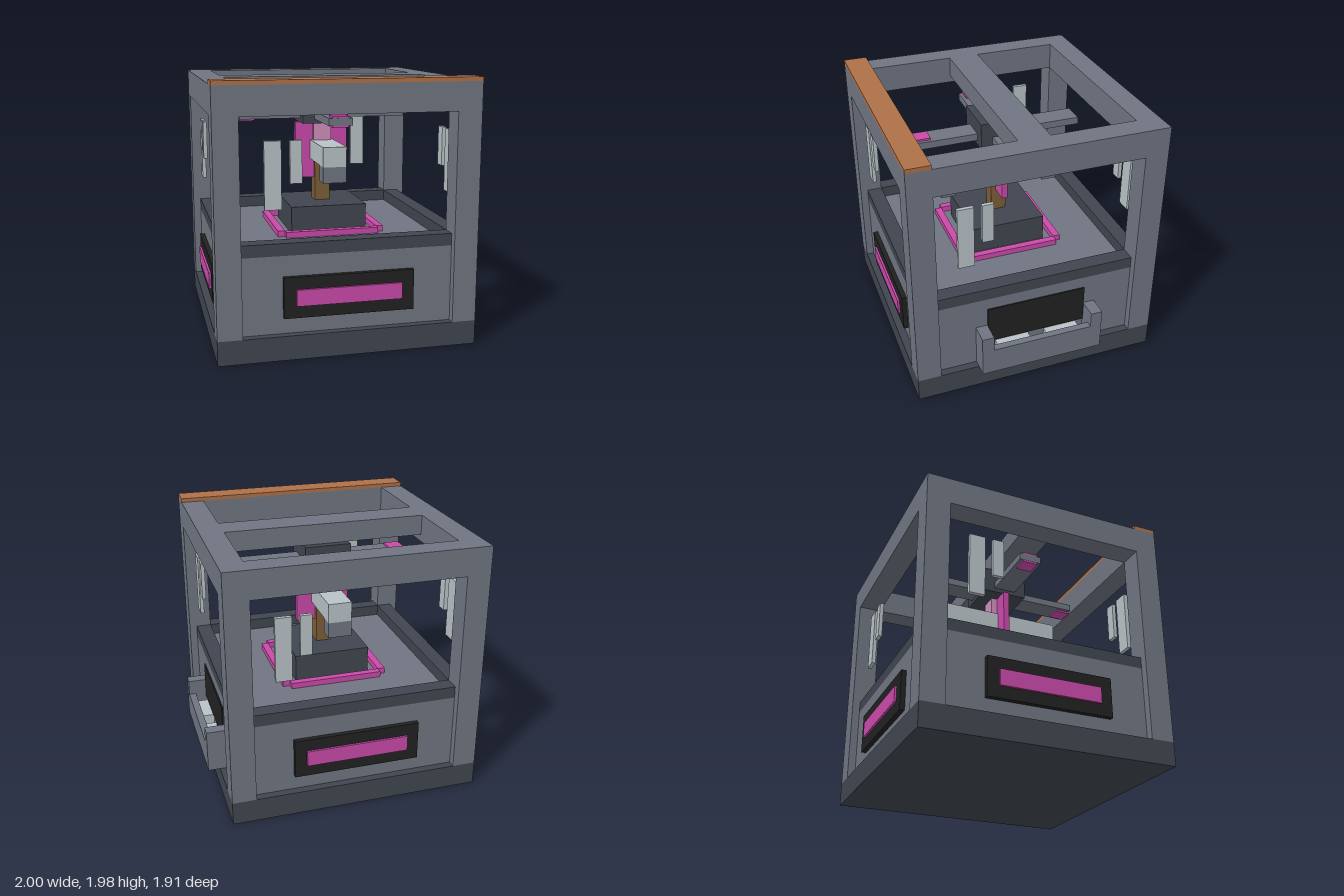
import * as THREE from 'three';

const mat = (name, color) => {
  const m = new THREE.MeshStandardMaterial({ color });
  m.name = name;
  return m;
};

export function createModel() {
  const grey = mat('frame grey', 0x6f7581);
  const dark = mat('dark slate', 0x40454f);
  const black = mat('panel black', 0x212121);
  const pink = mat('magenta', 0xc94aa9);
  const pale = mat('pale pink', 0xcf8fbc);
  const light = mat('light grey', 0xb8c2c6);
  const brown = mat('brown', 0x7c5e36);
  const orange = mat('orange', 0xad7048);

  const model = new THREE.Group();
  model.name = 'model';
  const machine = new THREE.Group();
  machine.name = 'machine';
  machine.position.x = -0.045; // the tray sticks out on one side
  model.add(machine);

  // Box from its minimum and maximum on each axis
  const box = (name, m, x0, x1, y0, y1, z0, z1, parent = machine) => {
    const mesh = new THREE.Mesh(new THREE.BoxGeometry(x1 - x0, y1 - y0, z1 - z0), m);
    mesh.position.set((x0 + x1) / 2, (y0 + y1) / 2, (z0 + z1) / 2);
    mesh.name = name;
    parent.add(mesh);
    return mesh;
  };
  // Box centred on the vertical axis
  const block = (name, m, hx, y0, y1, hz) => box(name, m, -hx, hx, y0, y1, -hz, hz);

  const R = 0.955, I = 0.775, P = 0.895; // outer edge, inner edge, panel face

  // Base and body
  block('base', dark, R, 0, 0.18, R);
  block('body', grey, P, 0.18, 0.75, P);

  // Frame pillars and top beams
  for (const s of [-1, 1]) {
    const a = s < 0 ? -R : I, b = s < 0 ? -I : R;
    for (const t of [-1, 1]) {
      box('pillar', grey, a, b, 0.18, 1.735, t < 0 ? -R : I, t < 0 ? -I : R);
    }
    box('topSideBeam', grey, a, b, 1.735, 1.945, -R, R);
    box('topCrossBeam', grey, -I, I, 1.735, 1.945, a, b);
  }
  box('centreBeam', grey, -I, I, 1.79, 1.945, -0.12, 0.12);
  box('topTrim', orange, -R, R, 1.945, 1.975, I, R);

  // Parts that repeat on each of the four sides, turned about the axis
  for (let i = 0; i < 4; i++) {
    const side = new THREE.Group();
    side.name = ['frontSide', 'leftSide', 'backSide', 'rightSide'][i];
    side.rotation.y = i * Math.PI / 2;
    machine.add(side);
    box('rim', dark, -I, I, 0.75, 0.84, I, P, side);
    box('glowStrip', pink, -0.36, 0.36, 0.75, 0.795, 0.36, 0.415, side);
    box('longHangingPlate', light, -0.6, -0.48, 1.08, 1.56, 0.865, 0.895, side);
    box('shortHangingPlate', light, -0.42, -0.335, 1.26, 1.56, 0.865, 0.895, side);
    if (i !== 1) {
      box('displayFrame', black, -0.478, 0.478, 0.3, 0.6, P, 0.932, side);
      box('displayScreen', pink, -0.388, 0.388, 0.39, 0.51, 0.932, 0.948, side);
    }
  }

  // Output opening and tray on the left side
  box('outputOpening', black, P, 0.905, 0.36, 0.66, -0.39, 0.39);
  box('trayFloor', grey, P, 0.99, 0.18, 0.23, -0.39, 0.39);
  box('trayWall', grey, 0.99, 1.045, 0.18, 0.39, -0.39, 0.39);
  for (const s of [-1, 1]) {
    box('trayEnd', grey, P, 1.045, 0.18, 0.51, s < 0 ? -0.48 : 0.39, s < 0 ? -0.39 : 0.48);
    box('trayPiece', light, P, 0.985, 0.23, 0.35, s < 0 ? -0.33 : 0.065, s < 0 ? -0.065 : 0.33);
  }

  // Pedestal and post
  block('pedestal', dark, 0.295, 0.75, 0.96, 0.295);
  block('post', brown, 0.06, 0.96, 1.29, 0.06);

  // Long head bar with a foot at each end
  block('headBar', light, 0.09, 1.29, 1.44, 0.48);
  box('frontFoot', grey, -0.09, 0.09, 1.17, 1.29, 0.36, 0.48);
  box('backFoot', grey, -0.09, 0.09, 1.17, 1.29, -0.48, -0.36);

  // Stem, blade, hub and crossed arms
  block('stem', pale, 0.07, 1.44, 1.585, 0.07);
  block('blade', pink, 0.208, 1.14, 1.583, 0.024);
  block('hub', dark, 0.178, 1.585, 1.79, 0.178);
  block('armAcross', grey, 0.655, 1.62, 1.675, 0.088);
  block('armAlong', grey, 0.088, 1.62, 1.675, 0.655);
  box('armMarkerFront', pink, -0.06, 0.06, 1.605, 1.69, 0.535, 0.653);
  box('armMarkerRight', pink, -0.653, -0.535, 1.605, 1.69, -0.06, 0.06);

  return model;
}
